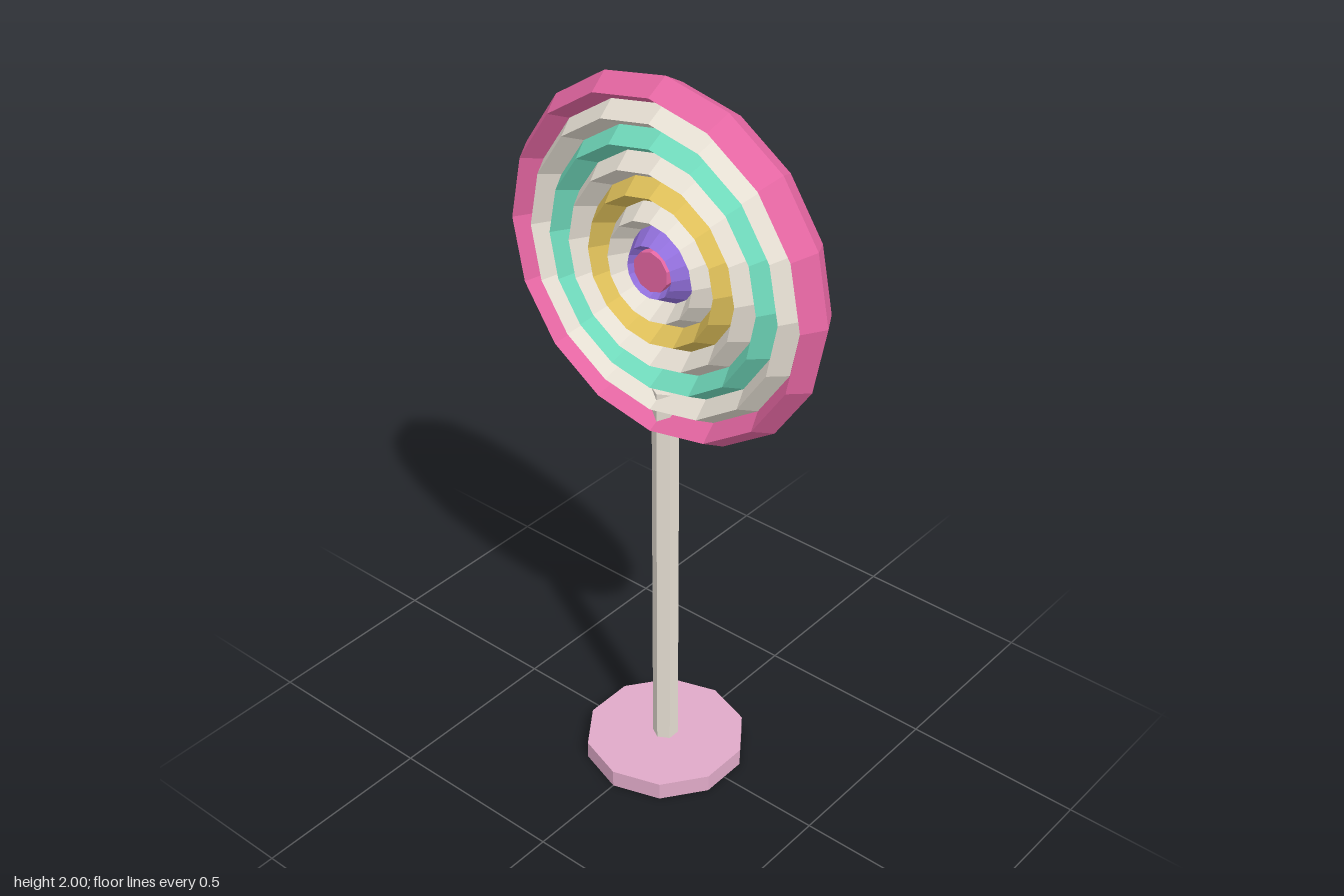
import * as THREE from 'three';

const mat = (name, color) => {
  const m = new THREE.MeshStandardMaterial({ color, flatShading: true });
  m.name = name;
  return m;
};

export function createModel() {
  const pink = mat('candy pink', 0xe667a3);
  const cream = mat('cream', 0xe6dfd3);
  const mint = mat('mint', 0x70dabc);
  const yellow = mat('honey yellow', 0xdfc05a);
  const purple = mat('violet', 0x9270dc);
  const rose = mat('pale rose', 0xe0aac8);

  const model = new THREE.Group();
  model.name = 'lollipop';
  const add = (parent, name, geometry, material, y = 0) => {
    const mesh = new THREE.Mesh(geometry, material);
    mesh.name = name;
    mesh.position.y = y;
    parent.add(mesh);
    return mesh;
  };

  // Stand and stick
  add(model, 'base', new THREE.CylinderGeometry(0.22, 0.22, 0.05, 10), rose, 0.025);
  add(model, 'stick', new THREE.CylinderGeometry(0.035, 0.035, 1.17, 6), cream, 0.585);

  // Candy head: concentric rings with a diamond section, deeper than wide
  const head = new THREE.Group();
  head.name = 'candyHead';
  head.position.y = 1.52;
  model.add(head);
  [pink, cream, mint, cream, yellow, cream, purple].forEach((material, i) => {
    const ring = new THREE.TorusGeometry(0.445 - i * 0.0628, 0.035, 4, 16);
    ring.scale(1, 1, 0.06 / 0.035);
    add(head, 'candyRing' + (i + 1), ring, material);
  });

  // Centre button, showing on both faces
  const button = new THREE.CylinderGeometry(0.053, 0.053, 0.11, 10);
  button.rotateX(Math.PI / 2);
  add(head, 'centreButton', button, pink);

  return model;
}
